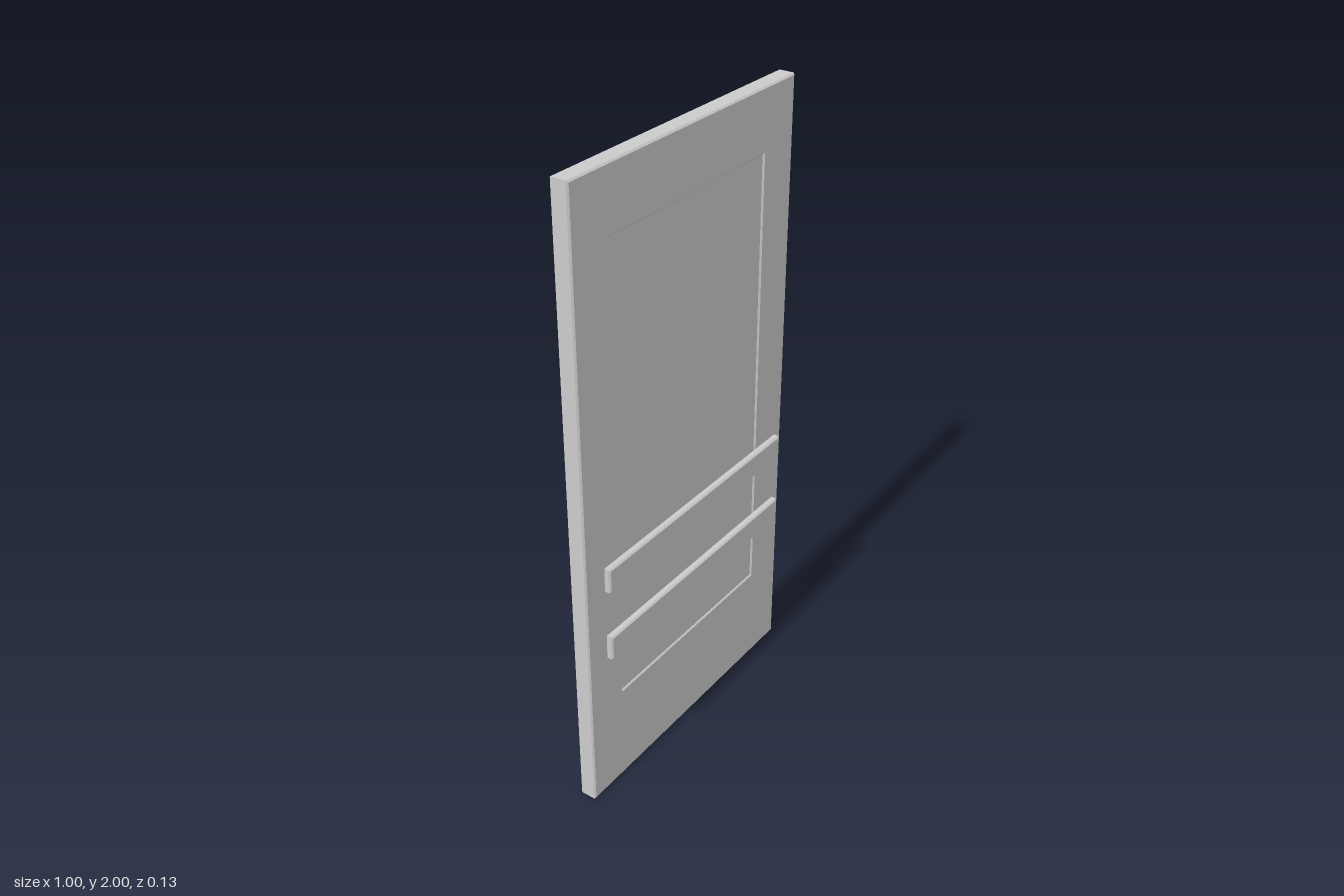
import * as THREE from 'three';

const grey = new THREE.MeshStandardMaterial({ color: 0xcccccc, flatShading: true });
const CHAMFER = 0.005;

function rectangle(Type, x0, y0, x1, y1) {
  const path = new Type();
  path.moveTo(x0, y0);
  path.lineTo(x1, y0);
  path.lineTo(x1, y1);
  path.lineTo(x0, y1);
  path.closePath();
  return path;
}

// Board with chamfered edges, filling the shape in x/y and spanning z0..z1
function board(name, shape, z0, z1) {
  const geometry = new THREE.ExtrudeGeometry(shape, {
    depth: z1 - z0 - 2 * CHAMFER,
    bevelEnabled: true,
    bevelThickness: CHAMFER,
    bevelSize: CHAMFER,
    bevelOffset: -CHAMFER,
    bevelSegments: 1,
  });
  geometry.translate(0, 0, z0 + CHAMFER);
  const mesh = new THREE.Mesh(geometry, grey);
  mesh.name = name;
  return mesh;
}

export function createModel() {
  const door = new THREE.Group();
  door.name = 'door';

  // Door leaf with a window opening
  const leaf = rectangle(THREE.Shape, -0.5, 0, 0.5, 2);
  leaf.holes.push(rectangle(THREE.Path, -0.35, 0.335, 0.35, 1.805));
  door.add(board('doorLeaf', leaf, -0.0285, 0.0285));

  // Thin pane set close to the front face
  const pane = new THREE.Mesh(new THREE.BoxGeometry(0.7, 1.47, 0.01), grey);
  pane.name = 'pane';
  pane.position.set(0, 1.07, 0.0185);
  door.add(pane);

  // Two push bars on each face
  for (const [height, y] of [['lower', 0.53], ['upper', 0.77]]) {
    const bar = rectangle(THREE.Shape, -0.437, y, 0.437, y + 0.08);
    door.add(board(height + 'FrontBar', bar, 0.0405, 0.0645));
    door.add(board(height + 'BackBar', bar, -0.0645, -0.0405));
  }
  return door;
}
